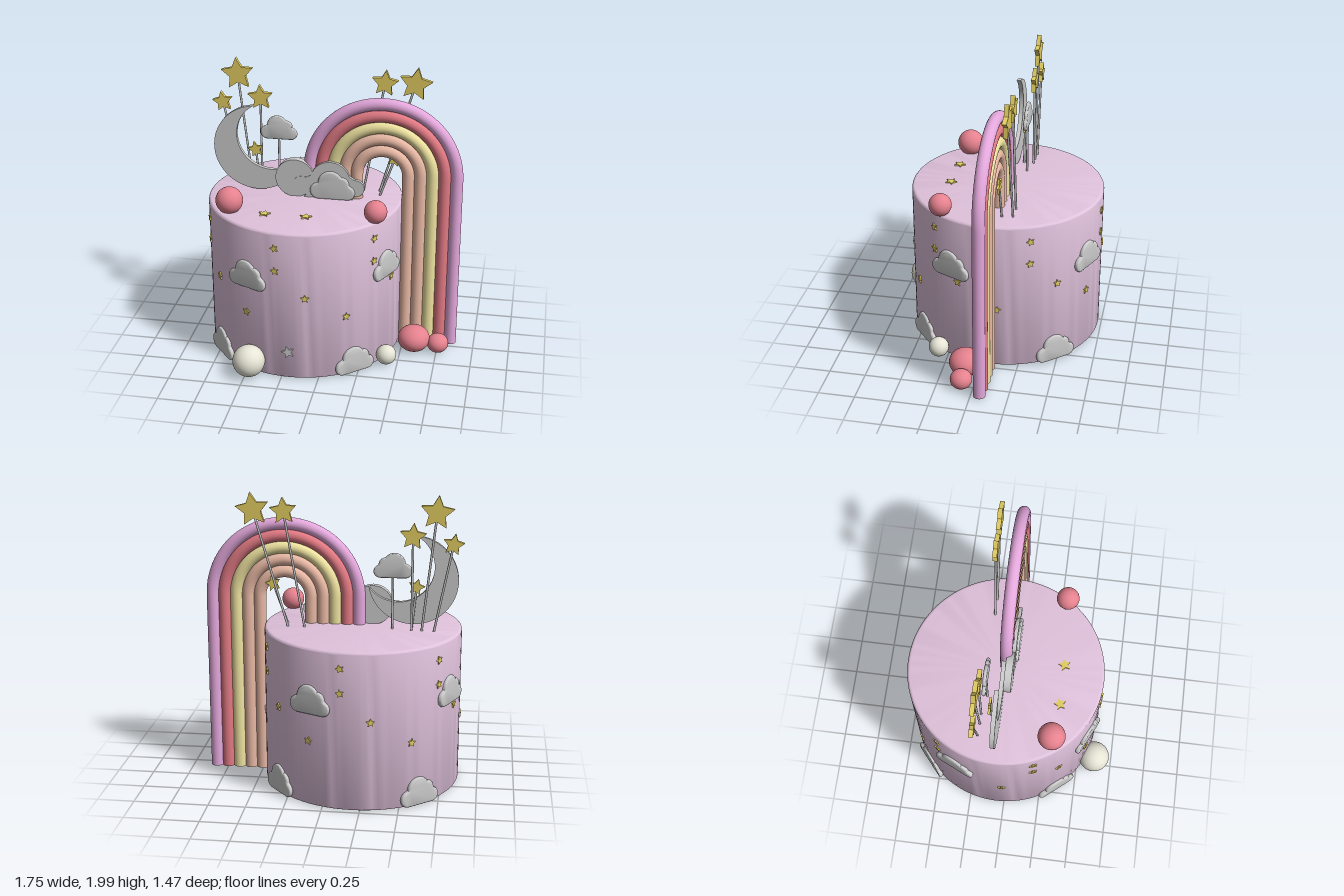
import * as THREE from 'three';
import { toCreasedNormals } from 'three/addons/utils/BufferGeometryUtils.js';

const paint = (color) => new THREE.MeshStandardMaterial({ color });
const GREY = paint(0xcccccc), GOLD = paint(0xe2cd62), PINK = paint(0xe6828f);
const CREAM = paint(0xe6e5d6), ICING = paint(0xe0c2dc);

// Cake centre, radius and height range
const CX = -0.2, CZ = -0.06, R = 0.667, BASE = 0.01, TOP = 1.085;
const DEG = Math.PI / 180;

export function createModel() {
  const model = new THREE.Group();

  function add(name, geometry, material, x = 0, y = 0, z = 0, parent = model) {
    const mesh = new THREE.Mesh(geometry, material);
    mesh.name = name;
    mesh.position.set(x, y, z);
    parent.add(mesh);
    return mesh;
  }

  // Slab centred on z = 0, with an optional rounded edge kept inside the outline
  function slab(shape, depth, bevel = 0) {
    const geometry = new THREE.ExtrudeGeometry(shape, {
      depth: depth - 2 * bevel, curveSegments: 48, bevelEnabled: bevel > 0,
      bevelThickness: bevel, bevelSize: bevel, bevelOffset: -bevel, bevelSegments: 4,
    });
    geometry.translate(0, 0, bevel - depth / 2);
    return toCreasedNormals(geometry, 0.6);
  }

  function starShape(radius) {
    const points = [];
    for (let i = 0; i < 10; i++) {
      const a = Math.PI / 2 + i * Math.PI / 5, r = i % 2 ? radius * 0.5 : radius;
      points.push(new THREE.Vector2(r * Math.cos(a), r * Math.sin(a)));
    }
    return new THREE.Shape(points);
  }

  // Outline of overlapping lobes [x, y, r] standing on a flat floor
  function cloudShape(lobes, floor, scale = 1) {
    const points = [], n = 96;
    const left = lobes[0][0], right = lobes[lobes.length - 1][0];
    for (let i = 0; i < n; i++) {
      const a = i / n * Math.PI * 2, dx = Math.cos(a), dy = Math.sin(a);
      let t = 0;
      for (const [x, y, r] of lobes) {
        const b = dx * x + dy * y, disc = b * b - (x * x + y * y - r * r);
        if (disc >= 0) t = Math.max(t, b + Math.sqrt(disc));
      }
      if (dy < -0.01) {
        const f = floor / dy, fx = f * dx;
        t = fx > left && fx < right ? f : Math.min(t, f);
      }
      points.push(new THREE.Vector2(t * dx * scale, t * dy * scale));
    }
    return new THREE.Shape(points);
  }
  const LOBES = [[-0.31, -0.14, 0.19], [-0.04, 0.05, 0.28], [0.2, 0.03, 0.17], [0.33, -0.16, 0.17]];
  const puffyCloud = (width, depth) => slab(cloudShape(LOBES, -0.33, width), depth, depth * 0.45);

  // Cake body with softly rounded rims
  const profile = [[0, BASE], [R - 0.012, BASE]];
  for (let i = 0; i <= 4; i++) {
    const a = i / 4 * Math.PI / 2;
    profile.push([R - 0.01 + 0.01 * Math.sin(a), BASE + 0.01 - 0.01 * Math.cos(a)]);
  }
  for (let i = 0; i <= 6; i++) {
    const a = i / 6 * Math.PI / 2;
    profile.push([R - 0.022 + 0.022 * Math.cos(a), TOP - 0.022 + 0.022 * Math.sin(a)]);
  }
  profile.push([0, TOP]);
  const body = new THREE.LatheGeometry(profile.map(([x, y]) => new THREE.Vector2(x, y)), 96);
  add('cake', toCreasedNormals(body, 0.6), ICING, CX, 0, CZ);

  // Rainbow: short legs stand on the cake, long legs reach the ground
  const rainbow = new THREE.Group();
  rainbow.name = 'rainbow';
  model.add(rainbow);
  const AX = 0.33, AY = 1.26, TUBE = 0.042;
  [0xe4a8dc, 0xe27a84, 0xeee2a0, 0xe8b8a4, 0xe8b8a4].forEach((color, i) => {
    const r = 0.503 - i * 0.082, material = paint(color);
    add('rainbowArch', new THREE.TorusGeometry(r, TUBE, 20, 48, Math.PI), material, AX, AY, CZ, rainbow);
    for (const [x, bottom] of [[AX - r, TOP - 0.01], [AX + r, BASE]]) {
      const h = AY - bottom;
      add('rainbowLeg', new THREE.CylinderGeometry(TUBE, TUBE, h, 20), material, x, bottom + h / 2, CZ, rainbow);
    }
  });

  // Crescent moon: outer arc, then back along the inner arc
  const tip = 52 * DEG, axis = 42 * DEG, ro = 0.302, ri = 0.243;
  const half = ro * Math.sin(tip), innerTip = Math.asin(half / ri);
  const offset = ro * Math.cos(tip) - Math.sqrt(ri * ri - half * half);
  const moon = new THREE.Shape();
  moon.absarc(0, 0, ro, axis + tip, axis - tip + Math.PI * 2, false);
  moon.absarc(offset * Math.cos(axis), offset * Math.sin(axis), ri,
    axis - innerTip + Math.PI * 2, axis + innerTip, true);
  add('moon', slab(moon, 0.03), GREY, -0.535, 1.4, -0.065);

  // Clouds standing on top
  const disc = new THREE.CylinderGeometry(0.135, 0.135, 0.05, 48);
  disc.rotateX(Math.PI / 2);
  add('cloudDisc', disc, GREY, -0.265, 1.215, -0.027);
  const backLobes = [[-0.195, -0.01, 0.06], [-0.1, -0.02, 0.085], [0, 0.025, 0.135],
    [0.1, -0.02, 0.085], [0.175, -0.02, 0.06]];
  add('backCloud', slab(cloudShape(backLobes, -0.105), 0.025), GREY, -0.02, 1.19, -0.011);
  add('frontCloud', puffyCloud(0.31, 0.03), GREY, -0.005, 1.183, 0.003);

  // Toppers on sticks
  function stick(x0, x1, y1, z) {
    const a = new THREE.Vector3(x0, TOP - 0.02, z), b = new THREE.Vector3(x1, y1, z);
    const geometry = new THREE.TubeGeometry(new THREE.LineCurve3(a, b), 1, 0.008, 8);
    add('topperStick', geometry, GREY);
  }
  add('topperCloud', puffyCloud(0.258, 0.026), GREY, -0.405, 1.518, -0.158);
  stick(-0.405, -0.405, 1.5, -0.158);
  const toppers = [ // x, y, z, radius, stick foot, tilt
    [-0.69, 1.88, -0.183, 0.115, -0.6, 5], [-0.8, 1.675, -0.187, 0.073, -0.68, 10],
    [-0.535, 1.72, -0.183, 0.09, -0.535, 4], [-0.56, 1.365, -0.115, 0.058, -0.53, 14],
    [0.32, 1.87, -0.183, 0.092, 0.18, -5], [0.525, 1.875, -0.183, 0.115, 0.29, -8],
    [0.405, 1.36, -0.11, 0.055, 0.3, -15],
  ];
  for (const [x, y, z, r, foot, tilt] of toppers) {
    const depth = r < 0.06 ? 0.016 : 0.03;
    add('topperStar', slab(starShape(r), depth), GOLD, x, y, z).rotation.z = tilt * DEG;
    stick(foot, x, y, z);
  }

  // Decorations around the side, angle measured from the front
  function onSide(name, geometry, material, angle, y, lift = 0) {
    const holder = new THREE.Group();
    holder.name = name + 'Holder';
    holder.position.set(CX, y, CZ);
    holder.rotation.y = angle * DEG;
    model.add(holder);
    return add(name, geometry, material, 0, 0, R + lift, holder);
  }
  const sideCloud = puffyCloud(0.298, 0.034), sideStar = slab(starShape(0.029), 0.014);
  for (let i = 0; i < 4; i++) {
    onSide('sideCloud', sideCloud, GREY, -25 + i * 90, 0.742);
    onSide('lowerCloud', sideCloud, GREY, 40 + i * 90, 0.108);
  }
  for (const [start, y] of [[-7, 0.975], [-7, 0.81], [10, 0.62], [-26, 0.457]]) {
    for (let i = 0; i < 6; i++) {
      onSide('sideStar', sideStar, GOLD, start + i * 60, y, 0.002).rotation.z = (y * 50 - 30) * DEG;
    }
  }
  onSide('greyStar', slab(starShape(0.045), 0.014), GREY, 0, 0.21, 0.002).rotation.z = 0.3;
  for (const x of [-0.405, -0.125]) {
    add('topStar', slab(starShape(0.042), 0.014), GOLD, x, TOP + 0.002, 0.33).rotation.x = -Math.PI / 2;
  }

  // Balls: material, x, y, z, radius, height squash
  const sphere = new THREE.SphereGeometry(1, 40, 24);
  const balls = [
    [PINK, -0.65, 1.155, 0.3, 0.092, 1], [PINK, 0.335, 1.147, 0.3, 0.077, 1],
    [CREAM, -0.47, 0.122, 0.62, 0.11, 1], [CREAM, 0.425, 0.08, 0.31, 0.069, 1],
    [PINK, 0.59, 0.097, 0.085, 0.112, 0.82], [PINK, 0.758, 0.072, 0.08, 0.075, 0.9],
  ];
  for (const [material, x, y, z, r, squash] of balls) {
    add('ball', sphere, material, x, y, z).scale.set(r, r * squash, r);
  }
  return model;
}
